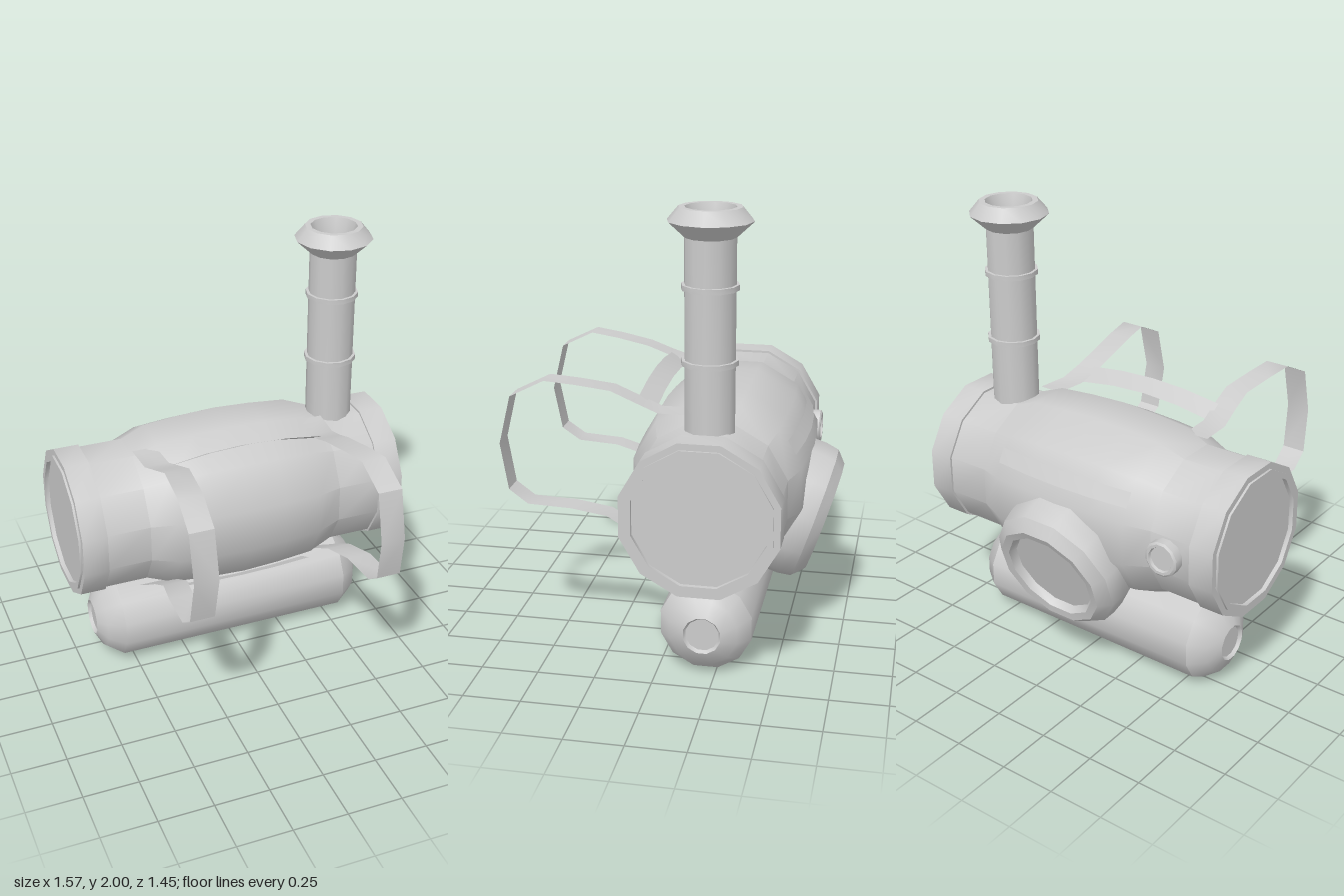
import * as THREE from 'three';
import { toCreasedNormals } from 'three/addons/utils/BufferGeometryUtils.js';

const grey = new THREE.MeshStandardMaterial({ color: 0xcccccc });
const sheet = new THREE.MeshStandardMaterial({ color: 0xcccccc, side: THREE.DoubleSide });
const FLAT = 1 / Math.cos(Math.PI / 12); // distance to a flat -> corner radius, 12 sides

// Twelve-sided turned part; profile is [radius, height] pairs from bottom to top.
function turned(name, profile, flats = true) {
  const k = flats ? FLAT : 1;
  const pts = profile.map(([r, h]) => new THREE.Vector2(r * k, h));
  const geo = new THREE.LatheGeometry(pts, 12, flats ? Math.PI / 12 : 0);
  const mesh = new THREE.Mesh(toCreasedNormals(geo, 0.6), grey);
  mesh.name = name;
  return mesh;
}

// Full symmetric profile from the half that runs from one end to the middle.
const mirrored = (half) => [
  ...half.map(([r, h]) => [r, -h]),
  ...half.slice().reverse().filter(([, h]) => h > 0),
];

// Thin band between two rails of [x, y, z] points.
function band(name, railA, railB) {
  const pos = [];
  const index = [];
  railA.forEach((p, i) => {
    pos.push(...p, ...railB[i]);
    if (i) {
      const a = 2 * i - 2;
      index.push(a, a + 1, a + 2, a + 1, a + 3, a + 2);
    }
  });
  const geo = new THREE.BufferGeometry();
  geo.setAttribute('position', new THREE.Float32BufferAttribute(pos, 3));
  geo.setIndex(index);
  const mesh = new THREE.Mesh(toCreasedNormals(geo, 0.6), sheet);
  mesh.name = name;
  return mesh;
}

// Crossbar bowed between x = -0.35 and 0.35; each edge is [[y, z] at the ends, [y, z] in the middle].
function crossbar(name, edgeA, edgeB) {
  const rail = ([end, mid]) => [-1, -0.5, 0, 0.5, 1].map((t) => {
    const w = t * t;
    return [t * 0.35, mid[0] + (end[0] - mid[0]) * w, mid[1] + (end[1] - mid[1]) * w];
  });
  return band(name, rail(edgeA), rail(edgeB));
}

export function createModel() {
  const model = new THREE.Group();
  model.name = 'barrelPack';

  // Bulged barrel with collars and recessed end discs
  const barrel = turned('barrel', mirrored([
    [0, 0.765], [0.28, 0.765], [0.28, 0.785], [0.305, 0.785], [0.305, 0.775],
    [0.333, 0.775], [0.333, 0.66], [0.323, 0.66], [0.323, 0.46],
    [0.366, 0.345], [0.38, 0.17], [0.387, 0],
  ]));
  barrel.rotation.z = -Math.PI / 2;
  barrel.position.set(0, 0.76, -0.205);
  model.add(barrel);

  // Lower tank with rounded ends
  const tank = turned('lowerTank', mirrored([
    [0, 0.655], [0.07, 0.655], [0.08, 0.67], [0.145, 0.635], [0.198, 0.56],
  ]));
  tank.rotation.z = -Math.PI / 2;
  tank.position.set(0, 0.2, -0.2);
  model.add(tank);

  // Chimney with flared open mouth
  const chimney = new THREE.Group();
  chimney.name = 'chimney';
  chimney.position.set(0.537, 0, -0.207);
  chimney.add(turned('chimneyPipe', [
    [0, 1.0], [0.106, 1.0], [0.106, 1.88], [0.176, 1.945], [0.13, 2.0],
    [0.105, 2.0], [0.075, 1.9], [0.075, 1.8], [0, 1.8],
  ], false));
  for (const y of [1.37, 1.68]) {
    const ring = turned('chimneyRing', [
      [0.1, -0.011], [0.119, -0.011], [0.119, 0.011], [0.1, 0.011],
    ], false);
    ring.position.y = y;
    chimney.add(ring);
  }
  model.add(chimney);

  // Round tilted canister on the back
  const canister = turned('backCanister', [
    [0, 0], [0.308, 0], [0.308, 0.06], [0.298, 0.12], [0.25, 0.166],
    [0.215, 0.16], [0.2, 0.125], [0, 0.125],
  ]);
  canister.position.set(0, 0.563, -0.487);
  canister.quaternion.setFromUnitVectors(
    new THREE.Vector3(0, 1, 0), new THREE.Vector3(0, -0.317, -0.948).normalize());
  model.add(canister);

  // Small filler cap
  const cap = turned('fillerCap', [
    [0, 0], [0.077, 0], [0.077, 0.075], [0.068, 0.082],
    [0.056, 0.082], [0.052, 0.07], [0, 0.07],
  ]);
  cap.rotation.x = -Math.PI / 2;
  cap.position.set(-0.542, 0.76, -0.493);
  model.add(cap);

  // Shoulder straps: centre line [x, y, z], swept with a constant width
  const path = [
    [0.405, 1.108, -0.12], [0.395, 1.105, 0.03], [0.38, 1.145, 0.14], [0.373, 1.185, 0.24],
    [0.395, 1.21, 0.39], [0.412, 1.225, 0.52], [0.42, 1.15, 0.67], [0.42, 0.934, 0.722],
    [0.428, 0.73, 0.685], [0.432, 0.67, 0.6], [0.425, 0.66, 0.41], [0.4, 0.625, 0.257],
    [0.4, 0.55, 0.13], [0.405, 0.485, 0.035], [0.405, 0.41, -0.08],
  ];
  for (const side of [1, -1]) {
    const rail = (dx) => path.map(([x, y, z]) => [side * (x + dx), y, z]);
    model.add(band(side > 0 ? 'leftStrap' : 'rightStrap', rail(-0.055), rail(0.055)));
  }

  // Crossbars joining the straps
  model.add(crossbar('topCrossbar',
    [[1.15, 0.13], [1.18, 0.13]], [[1.1, 0.052], [1.135, 0.052]]));
  model.add(crossbar('bottomCrossbar',
    [[0.437, 0.035], [0.422, 0.035]], [[0.395, -0.045], [0.378, -0.045]]));
  model.add(crossbar('backCrossbar',
    [[0.985, -0.512], [0.99, -0.54]], [[0.925, -0.547], [0.93, -0.577]]));

  return model;
}
